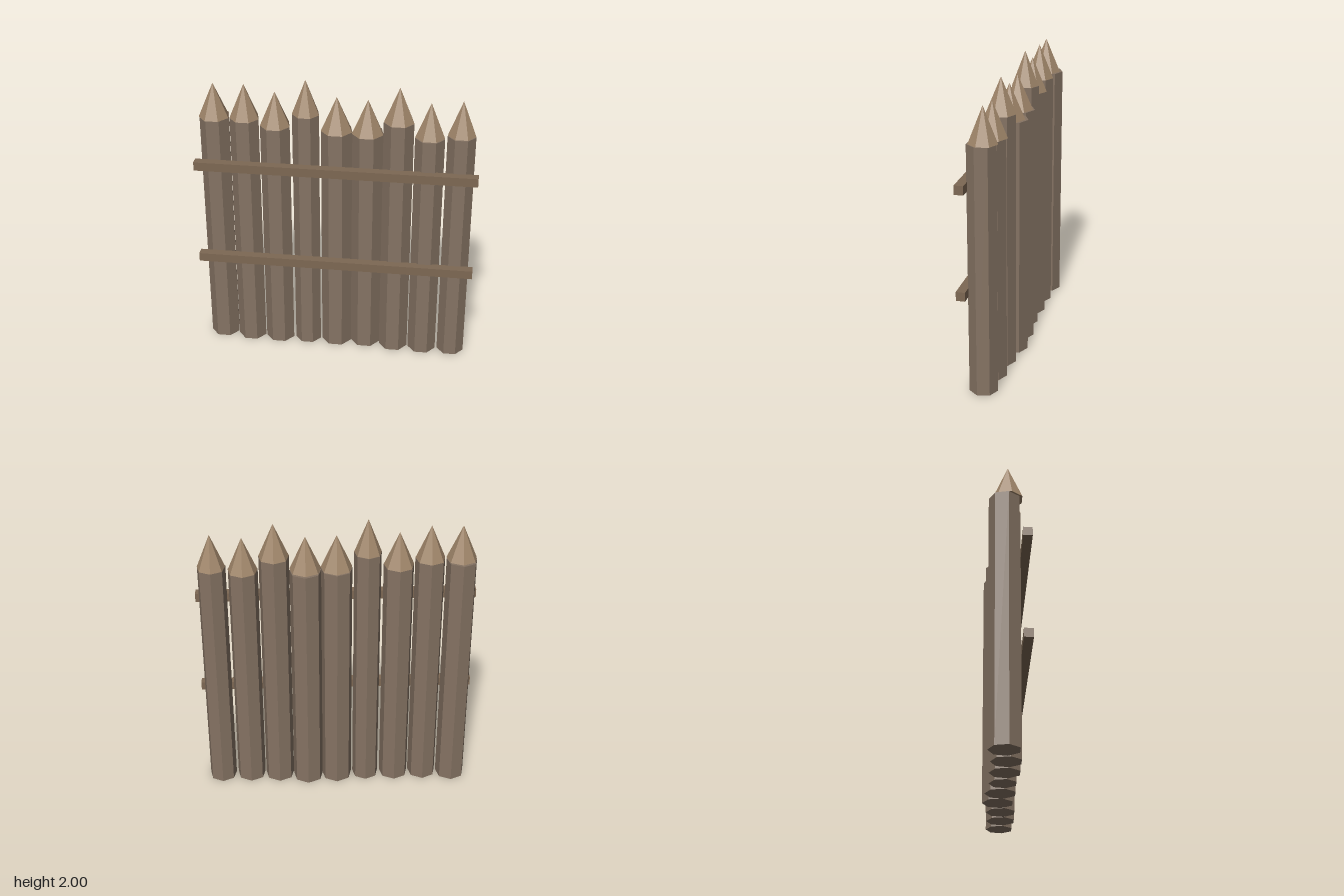
import * as THREE from 'three';

const SIDES = 7;
const SPACING = 0.204;
const TIP_HEIGHT = 0.236;
const TIP_Z = -0.012;

// One row per stake, from right to left: radius, shaft height, shaft z
const STAKES = [
  [0.102, 1.711, -0.032],
  [0.1, 1.713, -0.012],
  [0.102, 1.67, -0.012],
  [0.092, 1.764, -0.016],
  [0.106, 1.656, -0.024],
  [0.106, 1.648, -0.033],
  [0.102, 1.742, -0.007],
  [0.1, 1.647, 0],
  [0.095, 1.672, -0.002],
];

const material = (color) => new THREE.MeshStandardMaterial({ color, flatShading: true });

function addMesh(parent, name, geometry, mat, x, y, z) {
  const mesh = new THREE.Mesh(geometry, mat);
  mesh.name = name;
  mesh.position.set(x, y, z);
  parent.add(mesh);
  return mesh;
}

export function createModel() {
  const fence = new THREE.Group();
  fence.name = 'palisadeFence';
  const shaftWood = material(0x857363);
  const tipWood = material(0xa0866a);
  const railWood = material(0x7d6853);

  // Sharpened stakes: a flat side faces the front, a corner faces the back
  STAKES.forEach(([radius, height, z], i) => {
    const stake = new THREE.Group();
    stake.name = `stake${i + 1}`;
    stake.position.x = (i - (STAKES.length - 1) / 2) * SPACING;
    const shaft = new THREE.CylinderGeometry(radius, radius, height, SIDES).rotateY(Math.PI);
    const tip = new THREE.ConeGeometry(radius, TIP_HEIGHT, SIDES).rotateY(Math.PI);
    addMesh(stake, 'shaft', shaft, shaftWood, 0, height / 2, z);
    addMesh(stake, 'tip', tip, tipWood, 0, height + TIP_HEIGHT / 2, TIP_Z);
    fence.add(stake);
  });

  // Two rails across the front
  const rail = new THREE.BoxGeometry(1.88, 0.06, 0.06);
  addMesh(fence, 'lowerRail', rail, railWood, 0, 0.702, 0.108);
  addMesh(fence, 'upperRail', rail, railWood, 0, 1.404, 0.108);

  return fence;
}
